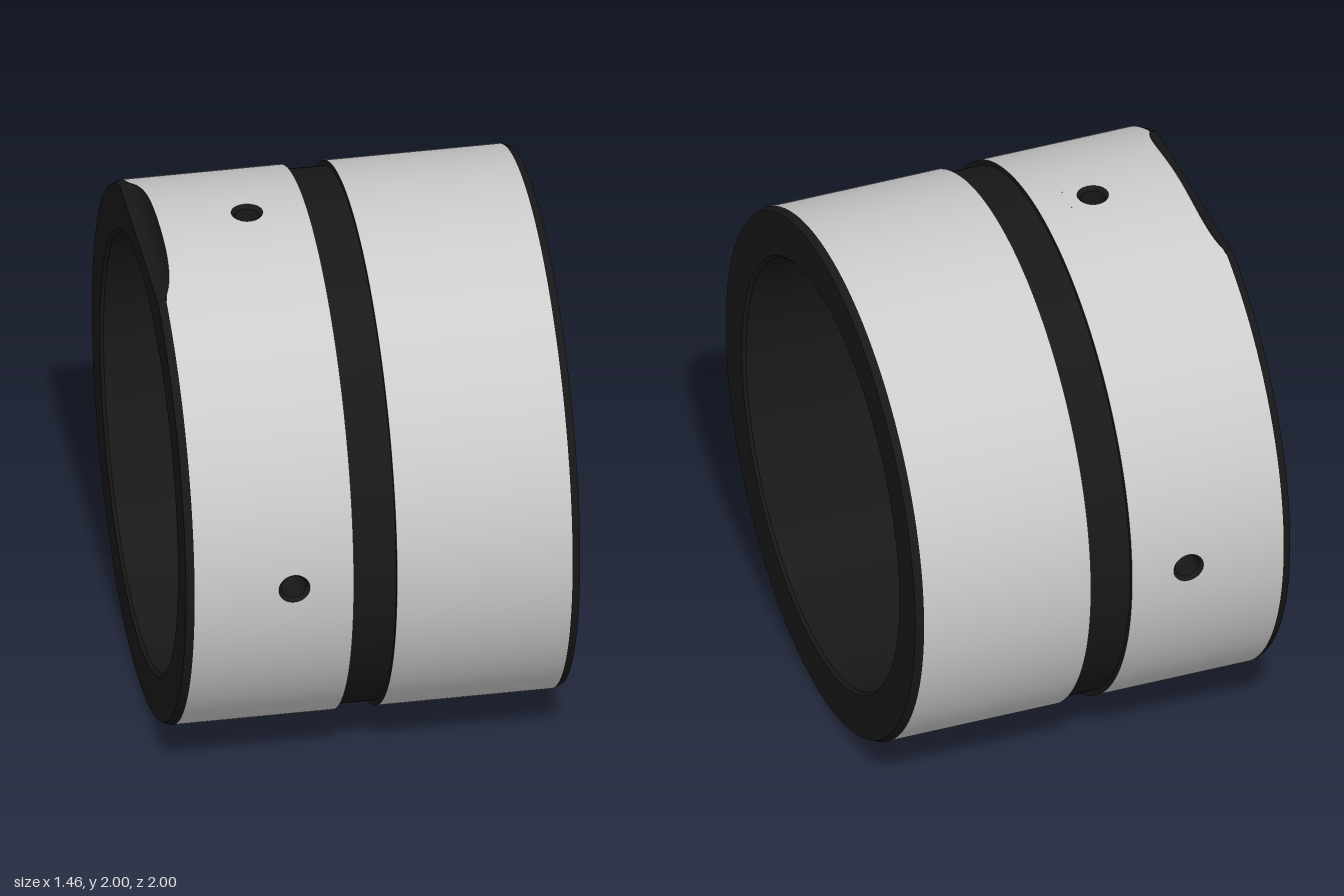
import * as THREE from 'three';
import { mergeGeometries, toCreasedNormals } from 'three/addons/utils/BufferGeometryUtils.js';

const SEG = 256;               // facets round the ring
const TAU = Math.PI * 2;
const L = 0.73, LC = 0.70;     // half length, and where the end chamfers start
const R = 1, RE = 0.988, RG = 0.98, RB = 0.81; // outside, chamfered end, groove, bore
const G0 = -0.11, G1 = 0.05;   // groove edges
const HX = -0.33, HR = 0.046, HRO = 0.058;     // cross hole position, radius, countersink radius
const H = TAU / SEG * 4;       // half angle of the patch round a hole
const NX = -0.76, NR = 0.1;    // centre and radius of the notch cutter

// point on the ring: angle from the top, radius, position along the axis
const polar = (a, r, x) => [x, 1 + r * Math.cos(a), r * Math.sin(a)];

// height of the notch floor at x
const notchY = x => (x < NX + NR ? 2 - Math.sqrt(NR * NR - (x - NX) ** 2) : 9);

// grid surface, facing along du x dv
function surface(nu, nv, fn) {
  const g = new THREE.PlaneGeometry(1, 1, nu, nv);
  const p = g.attributes.position;
  for (let i = 0; i < p.count; i++) p.setXYZ(i, ...fn(p.getX(i) + 0.5, p.getY(i) + 0.5));
  g.computeVertexNormals();
  return g;
}

// revolve one straight profile segment, trimmed by the notch
const revolve = ([x0, r0], [x1, r1]) => surface(SEG, 1, (u, v) => {
  const q = polar(u * TAU, r0 + (r1 - r0) * v, x0 + (x1 - x0) * v);
  q[1] = Math.min(q[1], notchY(q[0]));
  return q;
});

// exact radial normals for a cylindrical wall
function radial(g, sign) {
  const p = g.attributes.position, n = g.attributes.normal;
  for (let i = 0; i < p.count; i++) {
    const y = p.getY(i) - 1, z = p.getZ(i), d = sign / Math.hypot(y, z);
    n.setXYZ(i, 0, y * d, z * d);
  }
  return g;
}

// cylinder wall from x0(angle) to x1 with four round holes; sign -1 faces inward
function drilledWall(r, x0, x1, hole, sign) {
  const w = H * r;
  const sheet = (n, a0, a1, lo, hi) => surface(n, 1, (u, v) => {
    const a = sign > 0 ? a0 + (a1 - a0) * u : a1 + (a0 - a1) * u;
    const b = lo(a);
    return polar(a, r, b + (hi - b) * v);
  });
  const parts = [sheet(SEG, 0, TAU, x0, HX - w), sheet(SEG, 0, TAU, () => HX + w, x1)];
  for (let k = 0; k < 4; k++) {
    const c = k * Math.PI / 2;
    parts.push(sheet(SEG / 4 - 8, c + H, c + Math.PI / 2 - H, () => HX - w, HX + w));
    parts.push(surface(4, 64, (u, v) => {
      const s = sign * v * TAU, cs = Math.cos(s), sn = Math.sin(s);
      const edge = w / Math.max(Math.abs(cs), Math.abs(sn));
      const d = hole + (edge - hole) * u;
      return polar(c + d * cs / r, r, HX + d * sn);
    }));
  }
  return radial(mergeGeometries(parts), sign);
}

export function createModel() {
  const model = new THREE.Group();
  const grey = new THREE.MeshStandardMaterial({ color: 0xcccccc });
  const black = new THREE.MeshStandardMaterial({ color: 0x181818 });
  const add = (name, geo, mat) => {
    const m = new THREE.Mesh(geo, mat);
    m.name = name;
    model.add(m);
  };
  const creased = parts => toCreasedNormals(mergeGeometries(parts), 0.15);

  // outer sleeve, drilled side: its end edge follows the notch
  const sleeveEdge = a => {
    const drop = 1 - R * Math.cos(a);
    return drop < NR ? Math.max(-LC, NX + Math.sqrt(NR * NR - drop * drop)) : -LC;
  };
  add('drilledSleeve', drilledWall(R, sleeveEdge, G0, HRO, 1), grey);

  // outer sleeve, plain side
  add('plainSleeve', radial(revolve([G1, R], [LC, R]), 1), grey);

  // groove walls and floor
  const groove = [[G0, R], [G0, RG], [G1, RG], [G1, R]];
  add('groove', creased(groove.slice(1).map((p, i) => revolve(groove[i], p))), black);

  // chamfered end faces with eased bore edges
  const e = 0.012;
  const ends = {
    leftEnd: [[LC, R], [L, RE], [L, RB + e], [L - e, RB]],
    rightEnd: [[e - L, RB], [-L, RB + e], [-L, RE], [-LC, R]],
  };
  for (const [name, pts] of Object.entries(ends))
    add(name, creased(pts.slice(1).map((p, i) => revolve(pts[i], p))), black);

  // bore
  add('bore', drilledWall(RB, () => e - L, L - e, HR, -1), black);

  // scooped notch in the top of the right end
  const f0 = Math.asin((-L - NX) / NR);
  add('notch', surface(48, 20, (u, v) => {
    const f = f0 + (Math.PI / 2 - f0) * v;
    const x = NX + NR * Math.sin(f), y = 1 - NR * Math.cos(f);
    const r = x < -LC ? RE + (R - RE) * (x + L) / (L - LC) : R;
    return [x, 1 + y, (2 * u - 1) * Math.sqrt(Math.max(0, r * r - y * y))];
  }), black);

  // countersunk walls of the four cross holes
  const wall = [[R, HRO], [R - 0.015, HR], [RB, HR]];
  for (let k = 0; k < 4; k++) {
    const parts = wall.slice(1).map(([r1, d1], i) => surface(64, 1, (u, v) => {
      const [r0, d0] = wall[i], s = u * TAU;
      const r = r0 + (r1 - r0) * v, d = d0 + (d1 - d0) * v;
      return polar(k * Math.PI / 2 + d * Math.cos(s) / r, r, HX + d * Math.sin(s));
    }));
    add('crossHole' + (k + 1), creased(parts), black);
  }
  return model;
}
